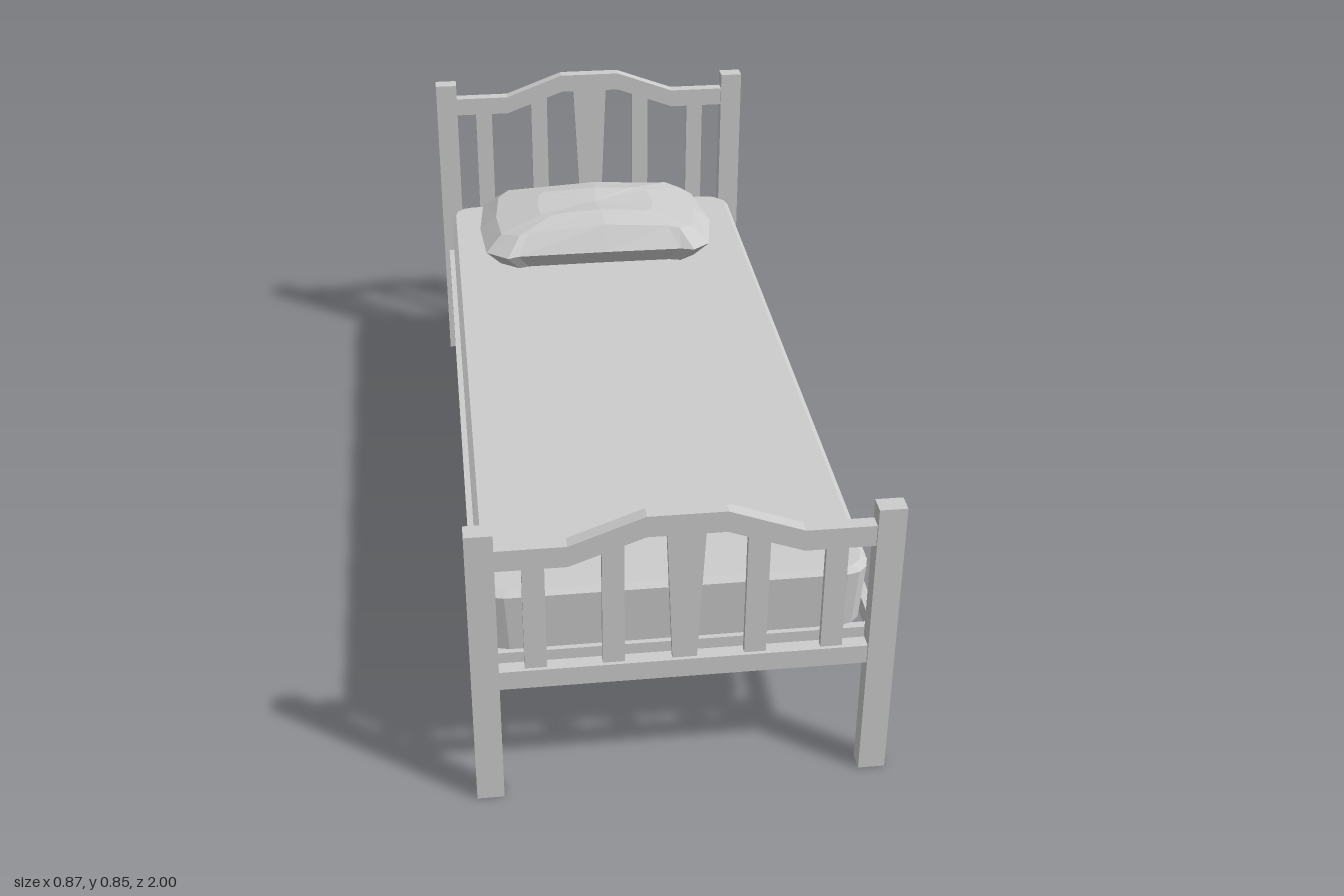
import * as THREE from 'three';

const grey = new THREE.MeshStandardMaterial({ color: 0xcccccc, flatShading: true });
grey.name = 'plain grey';

function add(parent, name, geometry, x = 0, y = 0, z = 0) {
  const mesh = new THREE.Mesh(geometry, grey);
  mesh.name = name;
  mesh.position.set(x, y, z);
  parent.add(mesh);
  return mesh;
}

// Box given by its limits on each axis
function bar(parent, name, x0, x1, y0, y1, z0, z1) {
  return add(parent, name, new THREE.BoxGeometry(x1 - x0, y1 - y0, z1 - z0),
    (x0 + x1) / 2, (y0 + y1) / 2, (z0 + z1) / 2);
}

// Flat outline in x and y, given a thickness centred on z = 0
function plate(points, depth) {
  const shape = new THREE.Shape(points.map(([x, y]) => new THREE.Vector2(x, y)));
  return new THREE.ExtrudeGeometry(shape, { depth, bevelEnabled: false }).translate(0, 0, -depth / 2);
}

// Closed solid from stacked rings of [x, y, z], counterclockwise from above
function loft(rings) {
  const n = rings[0].length;
  const pos = rings.flat(2);
  const index = [];
  for (let r = 0; r < rings.length - 1; r++) {
    for (let i = 0; i < n; i++) {
      const j = (i + 1) % n, a = r * n, b = a + n;
      index.push(a + i, a + j, b + j, a + i, b + j, b + i);
    }
  }
  [rings[0], rings[rings.length - 1]].forEach((ring, top) => {
    const centre = pos.length / 3, base = top ? (rings.length - 1) * n : 0;
    for (let k = 0; k < 3; k++) pos.push(ring.reduce((s, p) => s + p[k], 0) / n);
    for (let i = 0; i < n; i++) {
      const j = (i + 1) % n;
      index.push(centre, base + (top ? i : j), base + (top ? j : i));
    }
  });
  const g = new THREE.BufferGeometry();
  g.setAttribute('position', new THREE.Float32BufferAttribute(pos, 3));
  g.setIndex(index);
  const flat = g.toNonIndexed();
  flat.computeVertexNormals();
  return flat;
}

// Headboard or footboard: posts, arched top rail, bottom rail and slats
function endBoard(name, z, postTop, railTop) {
  const board = new THREE.Group();
  board.name = name;
  board.position.z = z;
  for (const s of [-1, 1]) {
    add(board, 'post', new THREE.BoxGeometry(0.057, postTop, 0.04), s * 0.4065, postTop / 2, 0);
  }

  const rise = 0.058, thick = 0.048;
  const upper = [[-0.38, 0], [-0.235, 0], [-0.08, rise], [0.08, rise], [0.235, 0], [0.38, 0]];
  const lower = upper.map(([x, y]) => [x, railTop + y - thick]).reverse();
  add(board, 'archedRail', plate([...lower, ...upper.map(([x, y]) => [x, railTop + y])], 0.03));
  bar(board, 'bottomRail', -0.38, 0.38, 0.283, 0.327, -0.015, 0.015);

  // Straight slats, cut to follow the underside of the rail
  const under = (x) => railTop - thick + rise * THREE.MathUtils.clamp((0.235 - Math.abs(x)) / 0.155, 0, 1);
  for (const s of [-1, 1]) {
    for (const x of [0.303, 0.145]) {
      const a = s * x - 0.0225, b = s * x + 0.0225;
      add(board, 'slat', plate([[a, 0.325], [b, 0.325], [b, under(b) + 0.005], [a, under(a) + 0.005]], 0.014));
    }
  }
  // Middle slat widens upward
  const top = under(0) + 0.003, w = 0.025 + (top - 0.327) * 0.045;
  add(board, 'middleSlat', plate([[-0.025, 0.325], [0.025, 0.325], [w, top], [-w, top]], 0.014));
  return board;
}

// Rectangle ring with faceted round corners
function mattressRing(y, inset) {
  const ring = [], r = 0.05, hx = 0.402 - inset, hz = 0.937 - inset;
  [[1, -1], [-1, -1], [-1, 1], [1, 1]].forEach(([sx, sz], q) => {
    for (let k = 0; k <= 3; k++) {
      const a = (q + k / 3) * Math.PI / 2;
      ring.push([-0.008 + sx * (hx - r) + r * Math.cos(a), y, -0.007 + sz * (hz - r) - r * Math.sin(a)]);
    }
  });
  return ring;
}

function pillowGeometry() {
  const outline = [
    [0.305, -0.67], [0.28, -0.85], [0.235, -0.885], [0.2, -0.87], [0, -0.868], [-0.22, -0.87],
    [-0.285, -0.885], [-0.32, -0.84], [-0.335, -0.68], [-0.325, -0.53], [-0.27, -0.485],
    [-0.24, -0.495], [0, -0.497], [0.2, -0.495], [0.235, -0.485], [0.28, -0.52]];
  const ring = (sx, sz, y, hump) => outline.map(([x, z]) => {
    const t = (x + 0.015) / 0.32;
    return [-0.015 + (x + 0.015) * sx, y + hump * (1 - t * t), -0.682 + (z + 0.682) * sz];
  });
  return loft([
    ring(0.87, 0.8, 0.47, 0),
    ring(1, 1, 0.52, 0),
    ring(0.86, 0.77, 0.555, 0.027),
    ring(0.5, 0.4, 0.583, 0.012),
  ]);
}

export function createModel() {
  const bed = new THREE.Group();
  bed.name = 'singleBed';

  bed.add(endBoard('headboard', -0.98, 0.835, 0.793));
  bed.add(endBoard('footboard', 0.98, 0.665, 0.625));

  // Long side rails and the cross bars under the mattress
  for (const s of [-1, 1]) {
    add(bed, 'sideRail', new THREE.BoxGeometry(0.02, 0.042, 1.93), s * 0.412, 0.304, 0);
    add(bed, 'crossBar', new THREE.BoxGeometry(0.81, 0.035, 0.018), 0, 0.306, s * 0.92);
  }

  add(bed, 'mattress', loft([
    mattressRing(0.327, 0.008), mattressRing(0.462, 0), mattressRing(0.472, 0.012)]));
  add(bed, 'pillow', pillowGeometry());
  return bed;
}
